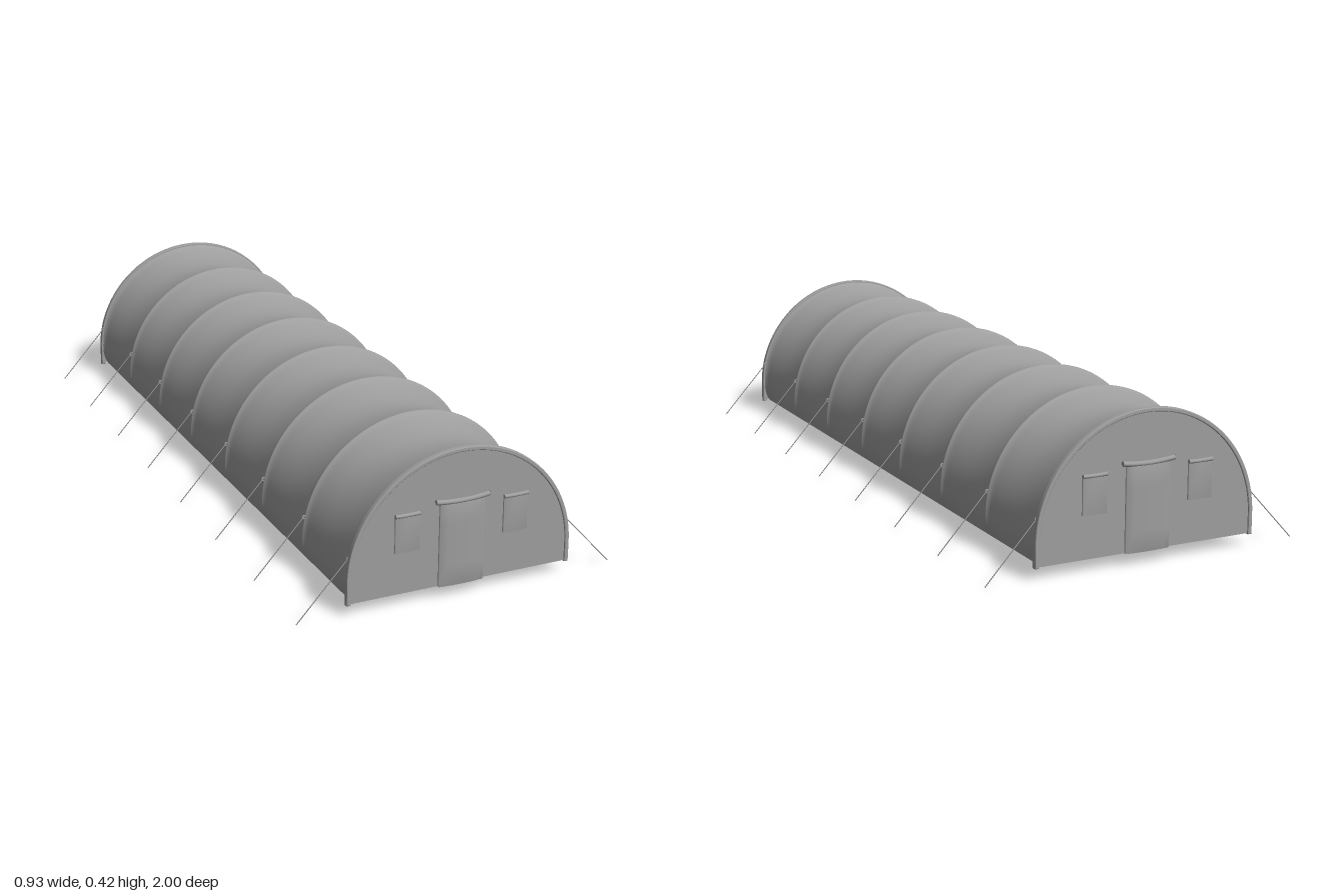
import * as THREE from 'three';
import { mergeVertices } from 'three/addons/utils/BufferGeometryUtils.js';

const BASE = 0.035, CY = 0.09, RIBS = 8, END = 0.975, WALL_Z = 0.986;
const STEP = (2 * END) / (RIBS - 1);
const mat = new THREE.MeshStandardMaterial({ color: 0x9e9e9e, side: THREE.DoubleSide });

function add(parent, name, geometry) {
  const mesh = new THREE.Mesh(geometry, mat);
  mesh.name = name;
  parent.add(mesh);
  return mesh;
}

// Arch outline: short upright legs with a half circle above
function archShape(r) {
  const s = new THREE.Shape();
  s.moveTo(r, BASE);
  s.lineTo(r, CY);
  s.absarc(0, CY, r, 0, Math.PI, false);
  s.lineTo(-r, BASE);
  return s;
}

// Canvas stretched over the ribs: rounded ridges with a sag between them
function coverGeometry() {
  const bays = RIBS - 1, rows = 16, leg = 0.08;
  const g = new THREE.PlaneGeometry(1, 1, 64, bays * rows);
  const p = g.attributes.position;
  for (let i = 0; i < p.count; i++) {
    const along = (0.5 - p.getY(i)) * bays;
    const bay = Math.min(bays - 1, Math.floor(along + 1e-6));
    const t = along - bay;
    // rows gather near the ribs
    const v = t - 0.9 * Math.sin(2 * Math.PI * t) / (2 * Math.PI);
    const ribDistance = Math.min(v, 1 - v) * STEP;
    const ridge = 0.005 * Math.exp(-Math.pow(ribDistance / 0.006, 2));

    const k = (p.getX(i) + 0.5) * (1 + 2 * leg) - leg;
    const a = Math.PI * Math.min(1, Math.max(0, k));
    const r = 0.32 + ridge - (0.006 + 0.02 * Math.sin(a)) * Math.sin(Math.PI * v);
    // the legs tuck in to a straight hem
    const drop = Math.max(0, -k, k - 1) / leg;
    const side = THREE.MathUtils.lerp(r, 0.309, drop * drop);
    p.setXYZ(i, Math.cos(a) * side,
      CY + Math.sin(a) * r - drop * (CY - BASE), -END + (bay + v) * STEP);
  }
  g.computeVertexNormals();
  return g;
}

// Soft cloth panel: a thin box, bowed outward, shaded smoothly round its edges
function panelGeometry(w, h, nx, ny, bow) {
  const box = new THREE.BoxGeometry(w, h, 0.008, nx, ny, 1);
  box.deleteAttribute('normal');
  box.deleteAttribute('uv');
  const g = mergeVertices(box);
  const p = g.attributes.position;
  for (let i = 0; i < p.count; i++) {
    const x = (2 * p.getX(i)) / w;
    if (p.getZ(i) > 0) p.setZ(i, p.getZ(i) + bow * (1 - x * x));
  }
  g.computeVertexNormals();
  return g;
}

// Rolled cloth above an opening, drooping in the middle
function addRoll(parent, w, y, droop, r) {
  const z = 0.0065;
  const path = new THREE.QuadraticBezierCurve3(
    new THREE.Vector3(-w / 2, y, z),
    new THREE.Vector3(0, y - 2 * droop, z),
    new THREE.Vector3(w / 2, y, z));
  add(parent, 'roll', new THREE.TubeGeometry(path, 16, r, 10));
  for (const s of [-1, 1]) {
    const cap = add(parent, 'rollEnd', new THREE.CircleGeometry(r, 10));
    cap.rotation.y = s * Math.PI / 2;
    cap.position.set(s * w / 2, y, z);
  }
}

function buildEnd(name) {
  const end = new THREE.Group();
  end.name = name;

  // Flat end wall
  add(end, 'endWall', new THREE.ShapeGeometry(archShape(0.322), 48)).position.z = WALL_Z;

  // Raised border round the arch, open along the ground
  const rim = archShape(0.327);
  rim.lineTo(-0.321, BASE);
  rim.lineTo(-0.321, CY);
  rim.absarc(0, CY, 0.321, Math.PI, 0, true);
  rim.lineTo(0.321, BASE);
  rim.closePath();
  add(end, 'endRim', new THREE.ExtrudeGeometry(rim, {
    depth: 0.011, bevelEnabled: true, bevelSize: 0.003, bevelThickness: 0.003,
    bevelSegments: 3, curveSegments: 48,
  })).position.z = 0.977;

  // Door and windows
  const openings = [
    { name: 'door', x: 0, w: 0.13, y0: BASE, y1: 0.274, nx: 6, ny: 4, bow: 0.004,
      rollW: 0.156, rollY: 0.28, droop: 0.006, r: 0.007 },
    ...[['leftWindow', 0.159], ['rightWindow', -0.159]].map(([label, x]) => ({
      name: label, x, w: 0.07, y0: 0.156, y1: 0.262, nx: 2, ny: 1, bow: 0.002,
      rollW: 0.072, rollY: 0.261, droop: 0.001, r: 0.0055 })),
  ];
  for (const o of openings) {
    const g = new THREE.Group();
    g.name = o.name;
    g.position.set(o.x, 0, WALL_Z);
    const panel = add(g, 'panel', panelGeometry(o.w, o.y1 - o.y0, o.nx, o.ny, o.bow));
    panel.position.set(0, (o.y0 + o.y1) / 2, 0.0042);
    addRoll(g, o.rollW, o.rollY, o.droop, o.r);
    end.add(g);
  }
  return end;
}

export function createModel() {
  const model = new THREE.Group();
  model.name = 'tunnelTent';
  add(model, 'canvasCover', coverGeometry());

  // Guy ropes with a small loop where each meets a rib
  const loop = new THREE.TorusGeometry(0.005, 0.0018, 6, 12);
  for (const s of [-1, 1]) {
    const rope = new THREE.TubeGeometry(new THREE.LineCurve3(
      new THREE.Vector3(s * 0.316, 0.165, 0),
      new THREE.Vector3(s * 0.466, 0.001, 0)), 1, 0.0015, 6);
    for (let i = 0; i < RIBS; i++) {
      const z = -END + STEP * i;
      add(model, 'guyRope', rope).position.z = z;
      add(model, 'ropeLoop', loop).position.set(s * 0.319, 0.16, z);
    }
  }

  // Matching front and back ends
  const back = buildEnd('backEnd');
  back.rotation.y = Math.PI;
  model.add(buildEnd('frontEnd'), back);
  return model;
}
